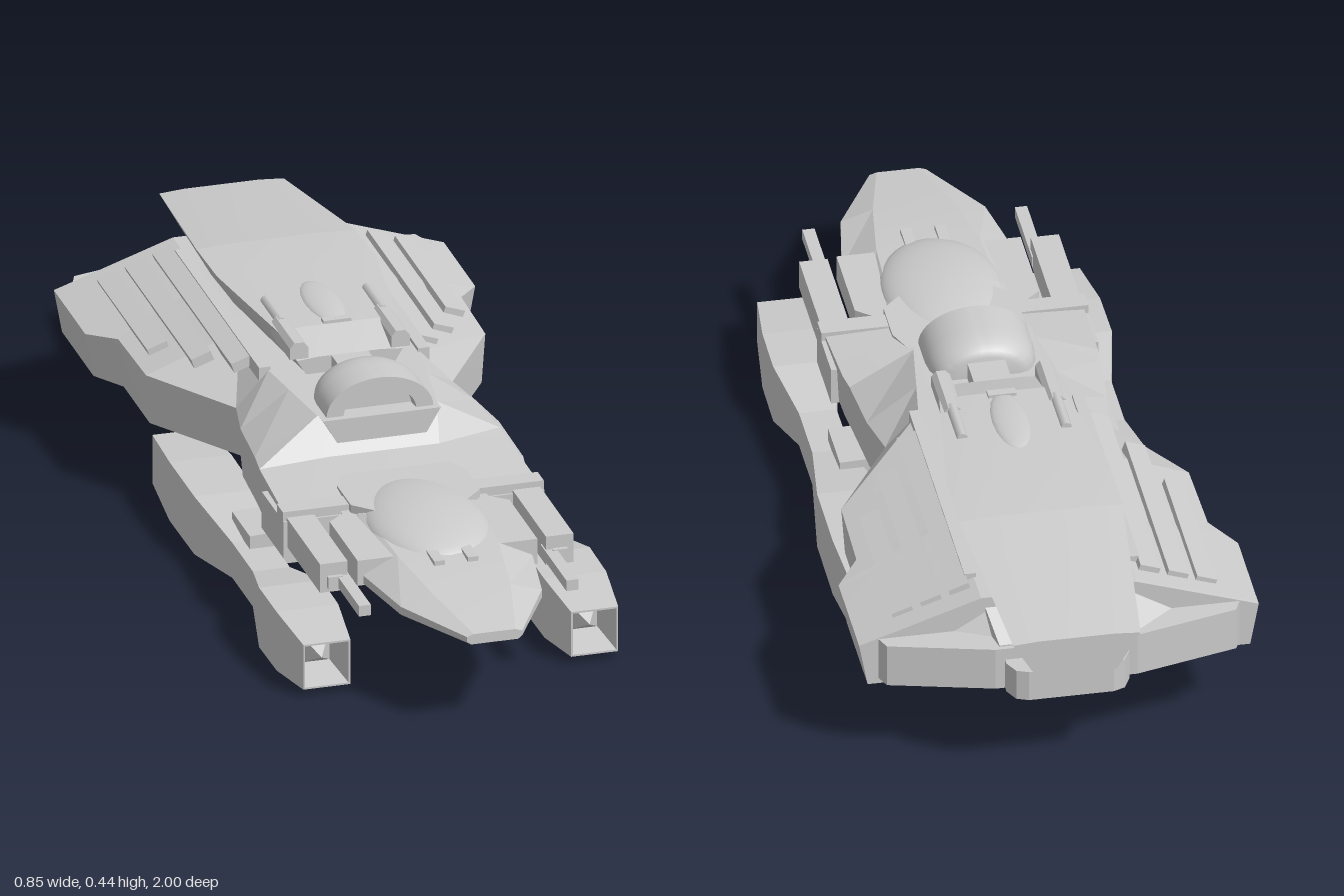
import * as THREE from 'three';
import { toCreasedNormals } from 'three/addons/utils/BufferGeometryUtils.js';

const grey = new THREE.MeshStandardMaterial({ color: 0xcccccc });
const flat = new THREE.MeshStandardMaterial({ color: 0xcccccc, flatShading: true });

// Skin through mirrored sections, listed back to front: [z, [[x, y], ...right half, bottom to top]]
function loft(sections, crease = 0.35) {
  const rings = sections.map(([z, half]) =>
    [...half, ...half.map(([x, y]) => [-x, y]).reverse()].map(([x, y]) => [x, y, z]));
  const n = rings[0].length, pos = [];
  const tri = (a, b, c) => pos.push(...a, ...b, ...c);
  for (let s = 0; s < rings.length - 1; s++) {
    for (let i = 0; i < n; i++) {
      const j = (i + 1) % n, p = rings[s], q = rings[s + 1];
      tri(p[i], p[j], q[j]);
      tri(p[i], q[j], q[i]);
    }
  }
  const back = rings[0], front = rings[rings.length - 1];
  for (let i = 1; i < n - 1; i++) {
    tri(back[0], back[i + 1], back[i]);
    tri(front[0], front[i], front[i + 1]);
  }
  const g = new THREE.BufferGeometry();
  g.setAttribute('position', new THREE.Float32BufferAttribute(pos, 3));
  g.computeVertexNormals();
  return toCreasedNormals(g, crease);
}

// Mirrored outline from its right half
function outline(half) {
  return new THREE.Shape([...half, ...half.map(([x, y]) => [-x, y]).reverse()]
    .map(([x, y]) => new THREE.Vector2(x, y)));
}

// Slab with a mirrored plan outline, half given as [x, z]
function slab(half, y0, y1) {
  const g = new THREE.ExtrudeGeometry(outline(half.map(([x, z]) => [x, -z])),
    { depth: y1 - y0, bevelEnabled: false });
  return g.rotateX(-Math.PI / 2).translate(0, y0, 0);
}

// Box given by its limits
function block(x0, x1, y0, y1, z0, z1) {
  return new THREE.BoxGeometry(x1 - x0, y1 - y0, z1 - z0)
    .translate((x0 + x1) / 2, (y0 + y1) / 2, (z0 + z1) / 2);
}

export function createModel() {
  const model = new THREE.Group();
  const add = (name, geometry, material = grey) => {
    const m = new THREE.Mesh(geometry, material);
    m.name = name;
    model.add(m);
    return m;
  };
  const both = (name, make) => {
    for (const s of [-1, 1]) add(s > 0 ? name + 'Left' : name + 'Right', make(s));
  };
  const pair = (name, x0, x1, ...rest) =>
    both(name, s => s > 0 ? block(x0, x1, ...rest) : block(-x1, -x0, ...rest));

  // Main hull with sloping wing roofs
  const hull = (z, xb, xo, ys, xi, yi) => [z, [[xb, 0.177], [xo, ys], [xi, yi]]];
  add('mainHull', loft([
    hull(-0.8, 0.405, 0.423, 0.275, 0.165, 0.362),
    hull(-0.57, 0.405, 0.423, 0.275, 0.165, 0.362),
    hull(-0.5, 0.36, 0.372, 0.287, 0.165, 0.364),
    hull(-0.31, 0.36, 0.368, 0.287, 0.165, 0.364),
    hull(-0.1, 0.225, 0.235, 0.287, 0.165, 0.364),
    hull(0.0, 0.25, 0.255, 0.285, 0.15, 0.362),
    hull(0.14, 0.26, 0.265, 0.283, 0.13, 0.36),
    hull(0.19, 0.265, 0.27, 0.278, 0.12, 0.287),
    hull(0.4, 0.27, 0.275, 0.262, 0.12, 0.268),
  ], 0.1));
  add('sternPlate', slab([[0.39, -0.78], [0.37, -0.83], [0.15, -0.885]], 0.19, 0.287));
  add('sternDeck', loft([
    [-0.875, [[0.14, 0.24], [0.14, 0.29]]],
    [-0.78, [[0.34, 0.24], [0.16, 0.35]]],
  ], 0.1));
  add('engineBlock', slab([[0.13, -0.84], [0.13, -0.9], [0.115, -0.93], [0.09, -0.94]], 0.19, 0.26));
  add('keel', slab([[0.1, -0.2], [0.135, -0.05], [0.135, 0.38]], 0.17, 0.185));
  pair('shoulderBlock', 0.13, 0.283, 0.172, 0.255, 0.25, 0.41);
  add('shoulderBeam', block(-0.283, 0.283, 0.2, 0.275, 0.36, 0.405));

  // Raised back fin, wider at the top than at its foot
  const spine = (z, xb, yb, xt, yt) => [z, [[xb, yb], [xt, yt - 0.004], [xt * 0.6, yt]]];
  add('spine', loft([
    spine(-1, 0.085, 0.287, 0.135, 0.375),
    spine(-0.6, 0.125, 0.33, 0.173, 0.427),
    spine(-0.45, 0.128, 0.345, 0.173, 0.431),
    spine(-0.15, 0.1, 0.355, 0.13, 0.43),
    spine(-0.06, 0.09, 0.355, 0.115, 0.4),
  ], 0.1));
  add('spineRidge', new THREE.SphereGeometry(1, 16, 10).scale(0.04, 0.012, 0.11).translate(0, 0.428, -0.26));
  add('spineHatch', block(-0.03, 0.03, 0.425, 0.437, -0.17, -0.15));
  add('turretLink', block(-0.04, 0.04, 0.36, 0.4, -0.08, 0.03));

  // Ribs lying along the wing roofs
  [[0.2, -0.17], [0.26, -0.26], [0.32, -0.38]].forEach(([x, front], i) => {
    for (const s of [-1, 1]) {
      const rib = add('wingRib' + (i + 1), new THREE.BoxGeometry(0.045, 0.022, front + 0.75));
      rib.position.set(s * x, 0.352 - (x - 0.2) * 0.36, (front - 0.75) / 2);
      rib.rotation.z = -s * 0.34;
    }
  });
  pair('wingRoot', 0.16, 0.185, 0.34, 0.372, -0.72, -0.1);

  // Paired guns on the spine
  both('backGun', s => loft([
    [-0.2, [[0.02, 0.4], [0.02, 0.425], [0.01, 0.437]]],
    [-0.06, [[0.02, 0.4], [0.02, 0.425], [0.01, 0.437]]],
  ], 0.1).translate(s * 0.11, 0, 0));
  both('backGunBarrel', s => new THREE.CylinderGeometry(0.012, 0.012, 0.12, 8)
    .rotateX(Math.PI / 2).translate(s * 0.11, 0.428, -0.245));

  // Turret: flared foot and a rounded hood with an arched recess
  add('turretFoot', loft([
    [-0.02, [[0.08, 0.28], [0.128, 0.362]]],
    [0.175, [[0.08, 0.28], [0.128, 0.362]]],
  ]));
  const arch = (z, s) => [z, Array.from({ length: 12 }, (_, k) => {
    const a = (k / 11.5) * Math.PI / 2;
    return [0.116 * s * Math.cos(a), 0.36 + 0.08 * s * Math.sin(a)];
  })];
  add('turretHood', loft([
    arch(0.01, 0.62), arch(0.016, 0.78), arch(0.03, 0.89), arch(0.055, 0.97),
    arch(0.085, 1), arch(0.16, 1), arch(0.16, 0.68), arch(0.13, 0.66),
  ], 0.6));

  // Forward deck and wedge nose
  add('neck', slab([[0.14, 0.3], [0.16, 0.42], [0.195, 0.45], [0.195, 0.655], [0.12, 0.655]], 0.205, 0.262));
  add('neckStep', slab([[0.1, 0.22], [0.14, 0.32], [0.14, 0.42], [0.1, 0.46]], 0.26, 0.28));
  const nose = (z, x, xt, yt, ye = 0.228) =>
    [z, [[x * 0.85, 0.203], [x, 0.21], [x, ye], [xt, yt]]];
  add('nose', loft([
    nose(0.4, 0.17, 0.12, 0.27), nose(0.66, 0.183, 0.11, 0.265),
    nose(0.83, 0.153, 0.085, 0.25), nose(1, 0.06, 0.045, 0.226, 0.221),
  ], 0.1));

  // Egg-shaped canopy, fuller towards the front
  const canopy = new THREE.SphereGeometry(1, 32, 20);
  const p = canopy.attributes.position;
  for (let i = 0; i < p.count; i++) {
    const z = p.getZ(i);
    p.setXYZ(i, p.getX(i) * 0.13 * (1 + 0.08 * z), 0.252 + p.getY(i) * 0.045, 0.485 + z * 0.205);
  }
  canopy.computeVertexNormals();
  add('canopy', canopy);
  pair('noseProng', 0.025, 0.048, 0.252, 0.27, 0.62, 0.72);

  // Side guns
  pair('sideGunHousing', 0.215, 0.275, 0.197, 0.262, 0.38, 0.65);
  pair('sideGunBarrel', 0.212, 0.238, 0.208, 0.232, 0.62, 0.81);
  pair('sideGunMuzzle', 0.228, 0.26, 0.208, 0.234, 0.64, 0.66);

  // Crosswise pylon carrying the pods
  add('pylon', new THREE.ExtrudeGeometry(outline([
    [0.13, 0.1], [0.13, 0.065], [0.297, 0.065], [0.297, 0.137], [0.22, 0.14],
    [0.165, 0.17], [0.13, 0.17], [0.13, 0.2], [0.07, 0.2], [0.07, 0.16],
  ]), { depth: 0.13, bevelEnabled: false }).translate(0, 0, 0.08));

  // Square pods, open at both ends: [half width, z]
  const podProfile = [
    [0, -0.25], [0.04, -0.26], [0.05, -0.365], [0.055, -0.365], [0.067, -0.2], [0.066, -0.02],
    [0.04, 0.17], [0.04, 0.32], [0.068, 0.46], [0.067, 0.585], [0.051, 0.727],
    [0.047, 0.727], [0.034, 0.63], [0, 0.69],
  ].map(([r, z]) => new THREE.Vector2(r * Math.SQRT2, z));
  for (const x of [-0.283, 0.298]) {
    add(x > 0 ? 'podLeft' : 'podRight', new THREE.LatheGeometry(podProfile, 4)
      .rotateY(Math.PI / 4).rotateX(Math.PI / 2).translate(x, 0.068, 0), flat);
  }
  return model;
}
